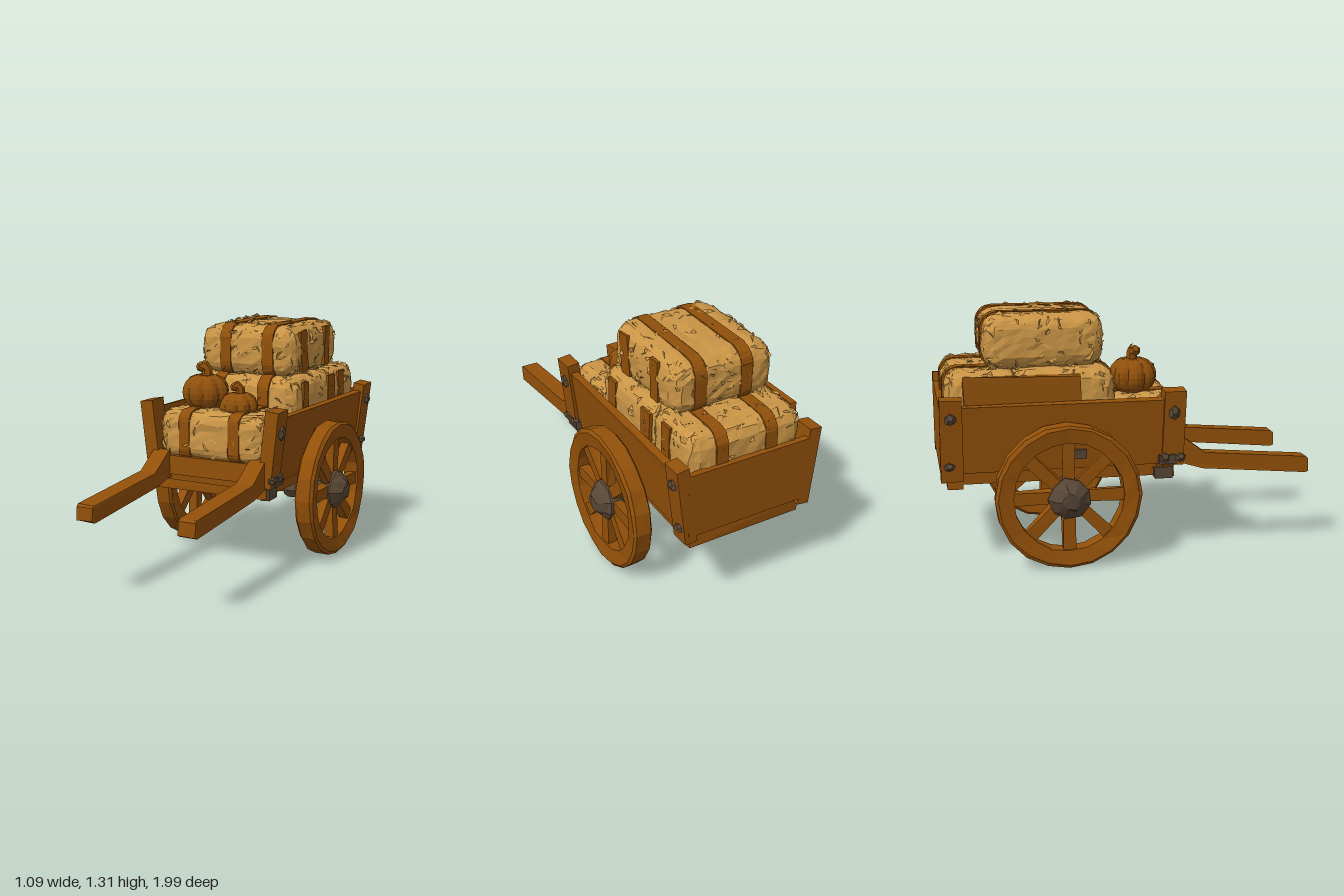
import * as THREE from 'three';

const mat = (name, color, extra = {}) =>
  Object.assign(new THREE.MeshStandardMaterial({ color, flatShading: true, ...extra }), { name });

export function createModel() {
  const wood = mat('wood', 0x925009);
  const straw = mat('straw', 0xca9546, { side: THREE.DoubleSide });
  const strap = mat('strap', 0x8f4f0a);
  const pumpkinSkin = mat('pumpkin', 0x8e4f0b);
  const iron = mat('iron', 0x584736);

  const cart = new THREE.Group();
  cart.name = 'hayCart';
  let seed = 7;
  const rnd = () => (seed = (seed * 16807) % 2147483647) / 2147483647;

  // Position-based wobble keeps coincident vertices together
  const wobble = (geo, amount) => {
    const p = geo.attributes.position;
    const h = (x, y, z, k) => {
      const s = Math.sin(Math.round(x * 500) * 12.99 + Math.round(y * 500) * 78.23 + Math.round(z * 500) * 37.72 + k * 19.1) * 4375.85;
      return (s - Math.floor(s) - 0.5) * 2 * amount;
    };
    for (let i = 0; i < p.count; i++) {
      const [x, y, z] = [p.getX(i), p.getY(i), p.getZ(i)];
      p.setXYZ(i, x + h(x, y, z, 1), y + h(x, y, z, 2), z + h(x, y, z, 3));
    }
    geo.computeVertexNormals();
    return geo;
  };
  const add = (name, geo, material, x = 0, y = 0, z = 0, parent = cart) => {
    const m = new THREE.Mesh(geo, material);
    m.name = name;
    m.position.set(x, y, z);
    parent.add(m);
    return m;
  };
  const block = (name, material, w, h, d, x, y, z, parent = cart, rough = 0.004) =>
    add(name, wobble(new THREE.BoxGeometry(w, h, d), rough), material, x, y, z, parent);

  // Cart bed
  block('floor', wood, 0.62, 0.04, 1.2, 0, 0.49, -0.34);
  block('frontBoard', wood, 0.52, 0.1, 0.05, 0, 0.56, 0.25);
  block('frontCrossbeam', wood, 0.66, 0.08, 0.09, 0, 0.46, 0.2);
  block('rearCrossbeam', wood, 0.64, 0.08, 0.08, 0, 0.45, -0.91);
  block('tailboard', wood, 0.7, 0.35, 0.035, 0, 0.675, -0.965);

  // Outward-leaning sides, posts, bolts, rails, shafts
  const shaftShape = new THREE.Shape([
    [1, 0.41], [1, 0.48], [0.985, 0.49], [0.42, 0.54], [0.29, 0.635], [0.22, 0.645], [0.22, 0.49], [0.3, 0.485], [0.4, 0.457], [0.985, 0.4],
  ].map(([z, y]) => new THREE.Vector2(-z, y)));
  for (const s of [1, -1]) {
    const side = new THREE.Group();
    side.name = s > 0 ? 'leftSide' : 'rightSide';
    side.position.set(s * 0.335, 0.5, 0);
    side.rotation.z = -s * 0.115;
    cart.add(side);
    block('sideBoard', wood, 0.04, 0.355, 1.2, 0, 0.18, -0.35, side);
    block('frontPost', wood, 0.07, 0.41, 0.115, 0, 0.2, 0.23, side);
    block('rearPost', wood, 0.07, 0.44, 0.115, 0, 0.18, -0.925, side);
    for (const [y, z, h] of [[0.29, 0.228, 0.085], [0.04, 0.185, 0.06], [0.04, 0.27, 0.05], [0.305, -0.93, 0.065], [0.05, -0.94, 0.045]]) {
      const bolt = add('bolt', wobble(new THREE.DodecahedronGeometry(0.5), 0.03), iron, s * 0.037, y, z, side);
      bolt.scale.set(0.05, h, 0.062);
    }
    block('sidePlate', iron, 0.012, 0.05, 0.08, s * 0.023, 0.08, -0.27, side, 0.002);
    block('cornerBracket', iron, 0.1, 0.05, 0.09, s * 0.335, 0.525, 0.2);
    block('shaftBracket', iron, 0.05, 0.06, 0.1, s * 0.318, 0.445, 0.19);
    block('floorRail', wood, 0.08, 0.07, 1.15, s * 0.28, 0.465, -0.34);

    const shaft = new THREE.ExtrudeGeometry(shaftShape, { depth: 0.094, bevelEnabled: false });
    shaft.rotateY(Math.PI / 2).translate(s * 0.293 - 0.047, 0, 0);
    add('shaft', wobble(shaft, 0.003), wood);
  }

  // Axle and its clamps
  const across = (geo) => geo.rotateZ(-Math.PI / 2);
  const lathe = (pts, n) => new THREE.LatheGeometry(pts.map(([r, x]) => new THREE.Vector2(r, x)), n);
  add('axle', wobble(across(new THREE.CylinderGeometry(0.034, 0.034, 0.72, 7)), 0.003), wood, 0, 0.35, -0.34);
  for (const s of [1, -1]) {
    add('axleClamp', wobble(across(lathe([[0, -0.055], [0.04, -0.055], [0.062, -0.025], [0.062, 0.025], [0.045, 0.055], [0, 0.055]], 7)), 0.005),
      iron, s * 0.22, 0.35, -0.34);
    block('axleMount', wood, 0.07, 0.1, 0.09, s * 0.22, 0.42, -0.34);

    // Wheel with local axis pointing outward
    const wheel = new THREE.Group();
    wheel.name = s > 0 ? 'leftWheel' : 'rightWheel';
    wheel.position.set(s * 0.445, 0.38, -0.34);
    if (s < 0) wheel.rotation.y = Math.PI;
    cart.add(wheel);
    const rim = lathe([[0.288, -0.04], [0.365, -0.053], [0.38, -0.04], [0.38, 0.04], [0.365, 0.053], [0.288, 0.04], [0.288, -0.04]], 20);
    add('rim', wobble(across(rim), 0.003), wood, 0, 0, 0, wheel);
    for (let i = 0; i < 8; i++) {
      const a = (i * Math.PI) / 4;
      const spoke = block('spoke', wood, 0.05, 0.25, 0.064, 0, Math.cos(a) * 0.19, Math.sin(a) * 0.19, wheel, 0.007);
      spoke.rotation.x = a;
    }
    const hub = lathe([[0, -0.13], [0.06, -0.13], [0.085, -0.085], [0.095, -0.03], [0.11, 0.04], [0.085, 0.068], [0.045, 0.098], [0, 0.1]], 9);
    add('hub', wobble(across(hub), 0.007), iron, 0, -0.005, 0, wheel);
  }

  // Loose straw flakes scattered over a bale surface
  const flakes = (geo, count) => {
    const g = geo.toNonIndexed().attributes.position;
    const pts = [];
    const [a, b, c] = [0, 1, 2].map(() => new THREE.Vector3());
    for (let i = 0; i < count; i++) {
      const k = Math.floor(rnd() * (g.count / 3)) * 3;
      [a, b, c].forEach((v, j) => v.fromBufferAttribute(g, k + j));
      const n = new THREE.Triangle(a, b, c).getNormal(new THREE.Vector3());
      const o = a.clone().multiplyScalar(0.4).addScaledVector(b, 0.3).addScaledVector(c, 0.3);
      const t = b.clone().sub(c).normalize().applyAxisAngle(n, rnd() * 6.28);
      const u = n.clone().cross(t);
      const len = 0.014 + rnd() * 0.02;
      pts.push(
        o.clone().addScaledVector(t, -len).addScaledVector(n, 0.001),
        o.clone().addScaledVector(t, len).addScaledVector(n, 0.002),
        o.clone().addScaledVector(u, 0.008 + rnd() * 0.01).addScaledVector(n, 0.006 + rnd() * 0.01));
    }
    const f = new THREE.BufferGeometry().setFromPoints(pts);
    f.computeVertexNormals();
    return f;
  };

  // Rounded, ragged bale with two bands wrapped front to back
  const bale = (name, [x0, x1], [y0, y1], [z0, z1], r, bands) => {
    const g = new THREE.Group();
    g.name = name;
    g.position.set((x0 + x1) / 2, (y0 + y1) / 2, (z0 + z1) / 2);
    cart.add(g);
    const [w, h, d] = [x1 - x0, y1 - y0, z1 - z0];
    const geo = new THREE.BoxGeometry(w, h, d, 12, 8, 12);
    const p = geo.attributes.position;
    const half = new THREE.Vector3(w / 2 - r, h / 2 - r, d / 2 - r);
    for (let i = 0; i < p.count; i++) {
      const v = new THREE.Vector3().fromBufferAttribute(p, i);
      const core = v.clone().clamp(half.clone().negate(), half);
      v.sub(core).setLength(r).add(core);
      p.setXYZ(i, v.x, v.y, v.z);
    }
    add('hay', wobble(geo, 0.005), straw, 0, 0, 0, g);
    add('looseStraw', flakes(geo, 260), straw, 0, 0, 0, g);
    const [H, D, R] = [h / 2 + 0.006, d / 2 + 0.006, r];
    const s = new THREE.Shape();
    s.moveTo(-D + R, -H).absarc(D - R, -H + R, R, -Math.PI / 2, 0);
    s.absarc(D - R, H - R, R, 0, Math.PI / 2);
    s.absarc(-D + R, H - R, R, Math.PI / 2, Math.PI);
    s.absarc(-D + R, -H + R, R, Math.PI, Math.PI * 1.5);
    for (const x of bands) {
      const band = new THREE.ExtrudeGeometry(s, { depth: 0.066, bevelEnabled: false, curveSegments: 5 });
      band.rotateY(Math.PI / 2).translate(x - 0.033 - g.position.x, 0, 0);
      add('band', wobble(band, 0.002), strap, 0, 0, 0, g);
    }
  };
  bale('frontBale', [-0.315, 0.325], [0.6, 0.86], [-0.1, 0.275], 0.065, [-0.15, 0.15]);
  bale('middleBale', [-0.335, 0.34], [0.6, 1.02], [-0.62, -0.06], 0.09, [-0.13, 0.15]);
  bale('rearBale', [-0.325, 0.325], [0.52, 1.015], [-0.95, -0.56], 0.08, [-0.13, 0.15]);
  bale('topBale', [-0.285, 0.3], [1.01, 1.293], [-0.745, -0.115], 0.09, [-0.11, 0.15]);

  // Cross straps on the bale flanks
  for (const [x, y, z, h, d, tilt] of [
    [0.297, 1.155, -0.265, 0.22, 0.085, 0.12], [0.297, 1.155, -0.565, 0.22, 0.07, 0],
    [0.338, 0.9, -0.205, 0.18, 0.07, 0], [0.338, 0.9, -0.55, 0.18, 0.09, 0], [0.323, 0.9, -0.72, 0.18, 0.08, 0],
  ]) block('flankStrap', strap, 0.016, h, d, x, y, z, cart, 0.002).rotation.x = tilt;
  block('flankSlab', strap, 0.04, 0.17, 0.6, -0.325, 0.905, -0.555, cart, 0.008);

  // Lobed pumpkins with crooked stems
  const pumpkin = (name, r, h, x, y, z, stemTop) => {
    const geo = new THREE.SphereGeometry(1, 32, 12);
    const p = geo.attributes.position;
    for (let i = 0; i < p.count; i++) {
      const [a, b, c] = [p.getX(i), p.getY(i), p.getZ(i)];
      const flat = Math.hypot(a, c);
      const rib = r * (0.88 + 0.12 * Math.abs(Math.cos(4 * Math.atan2(c, a))));
      p.setXYZ(i, a * rib, b * h * (1 - 0.25 * Math.pow(1 - flat, 2)), c * rib);
    }
    const g = new THREE.Group();
    g.name = name;
    g.position.set(x, y, z);
    cart.add(g);
    add('body', wobble(geo, 0.0015), pumpkinSkin, 0, 0, 0, g);
    const top = stemTop - y;
    const stem = new THREE.CatmullRomCurve3([
      new THREE.Vector3(0.01, h * 0.7, 0), new THREE.Vector3(0.005, (h + top) / 2, 0), new THREE.Vector3(-0.02, top - 0.015, 0.01)]);
    add('stem', new THREE.TubeGeometry(stem, 4, r * 0.22, 6), pumpkinSkin, 0, 0, 0, g);
    add('stemTip', new THREE.DodecahedronGeometry(r * 0.23), pumpkinSkin, -0.02, top - 0.024, 0.01, g);
  };
  pumpkin('largePumpkin', 0.132, 0.11, -0.14, 0.94, 0.06, 1.1);
  pumpkin('smallPumpkin', 0.107, 0.09, 0.088, 0.88, 0.1, 1.01);

  return cart;
}
